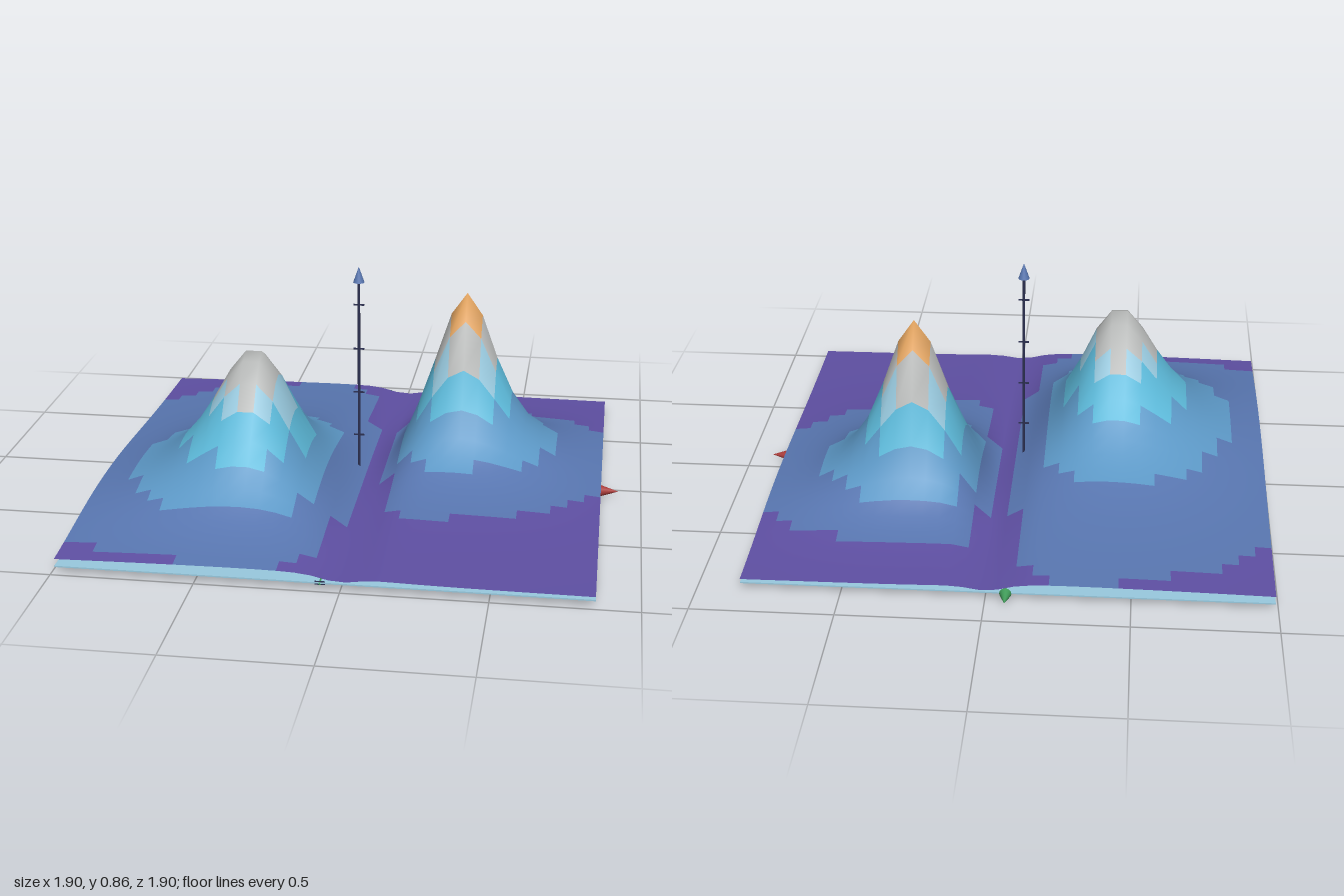
import * as THREE from 'three';

const mat = (name, color, side = THREE.FrontSide) => {
  const m = new THREE.MeshStandardMaterial({ color, side });
  m.name = name;
  return m;
};

// plot extents, floor height and axis origin
const X0 = -0.99, Z0 = -0.86, SIZE = 1.84, CELLS = 31, FLOOR = 0.03;
const OX = -0.07, OZ = 0.06;

// each hill has a core width w and a tail width v on each of its four sides
const hills = [
  { x: -0.427, z: 0.272, top: 0.565, xNeg: [0.21, 9], xPos: [0.21, 0.215], zNeg: [0.255, 9], zPos: [0.27, 0.37] },
  { x: 0.316, z: -0.148, top: 0.68, xNeg: [0.16, 0.21], xPos: [0.157, 0.34], zNeg: [0.15, 0.25], zPos: [0.147, 0.4] },
];
const falloff = (d, [w, v]) => (d / w) ** 2 + (d / v) ** 4;

function heightAt(x, z) {
  let h = 0;
  for (const k of hills) {
    const dx = x - k.x, dz = z - k.z;
    h += k.top / (1 + falloff(dx, dx < 0 ? k.xNeg : k.xPos) + falloff(dz, dz < 0 ? k.zNeg : k.zPos));
  }
  // valley between the hills
  return h * (1 - Math.exp(-((x / 0.08) ** 2)));
}

// grid surface, each cell coloured by its height band
function hillSurface(materials) {
  const limits = [0.035, 0.11, 0.24, 0.37, 0.41, 0.56];
  const n = CELLS + 1, step = SIZE / CELLS;
  const pos = [], bands = materials.map(() => []);
  for (let j = 0; j < n; j++) {
    for (let i = 0; i < n; i++) {
      const x = X0 + i * step, z = Z0 + j * step;
      pos.push(x, FLOOR + 0.004 + heightAt(x, z), z);
    }
  }
  for (let j = 0; j < CELLS; j++) {
    for (let i = 0; i < CELLS; i++) {
      const a = j * n + i, b = a + 1, c = a + n, d = c + 1;
      const mean = [a, b, c, d].reduce((s, k) => s + pos[k * 3 + 1], 0) / 4 - FLOOR;
      const band = limits.filter((l) => mean > l).length;
      bands[band].push(a, c, b, b, c, d);
    }
  }
  const geo = new THREE.BufferGeometry();
  geo.setAttribute('position', new THREE.Float32BufferAttribute(pos, 3));
  geo.setIndex(bands.flat());
  let start = 0;
  bands.forEach((list, k) => {
    geo.addGroup(start, list.length, k);
    start += list.length;
  });
  geo.computeVertexNormals();
  return new THREE.Mesh(geo, materials);
}

export function createModel() {
  const model = new THREE.Group();
  const both = THREE.DoubleSide;
  const purple = mat('purple', 0x5e4fa2, both);
  const slate = mat('slate blue', 0x5876b0, both);
  const blue = mat('blue', 0x5c98c6, both);
  const cyan = mat('cyan', 0x5cb9d9, both);
  const pale = mat('pale blue', 0x98c9de, both);
  const grey = mat('grey', 0xb9bbba, both);
  const orange = mat('orange', 0xe8a862, both);
  const navy = mat('navy', 0x2b2f50);
  const red = mat('red', 0xa83a38);
  const green = mat('green', 0x3f9a58);

  const add = (name, geo, material, x, y, z, parent = model) => {
    const m = new THREE.Mesh(geo, material);
    m.name = name;
    m.position.set(x, y, z);
    parent.add(m);
    return m;
  };

  // hills
  const surface = hillSurface([purple, slate, blue, cyan, pale, grey, orange]);
  surface.name = 'hillSurface';
  model.add(surface);

  // floor plate under the surface
  const mid = SIZE / 2;
  add('floorPlate', new THREE.BoxGeometry(SIZE, 0.005, SIZE), pale, X0 + mid, FLOOR - 0.0035, Z0 + mid);

  // axis built along +y, with a rod from -back to front and a cone on the end
  const axis = (name, back, front, rodMat, tipMat, r, tipLength) => {
    const g = new THREE.Group();
    g.name = name;
    const len = back + front;
    add(name + 'Rod', new THREE.CylinderGeometry(r, r, len, 10), rodMat, 0, len / 2 - back, 0, g);
    add(name + 'Tip', new THREE.ConeGeometry(0.021, tipLength, 20), tipMat, 0, front + tipLength / 2, 0, g);
    g.position.set(OX, FLOOR - 0.005, OZ);
    model.add(g);
    return g;
  };
  axis('heightAxis', 0, 0.78, navy, slate, 0.005, 0.06);
  axis('widthAxis', 0.92, 0.92, red, red, 0.005, 0.065).rotation.z = -Math.PI / 2;
  axis('depthAxis', 0.92, 0.92, green, green, 0.005, 0.06).rotation.x = -Math.PI / 2;
  add('originBall', new THREE.SphereGeometry(0.02, 20, 14), navy, OX, FLOOR - 0.005, OZ);

  // tick marks
  const tick = (sx, sy, sz, x, y, z) => add('tick', new THREE.BoxGeometry(sx, sy, sz), navy, x, y, z);
  for (let i = 1; i <= 4; i++) {
    tick(0.04, 0.005, 0.005, OX, FLOOR + i * 0.172, OZ);
  }
  for (const i of [-3, -2, -1, 1, 2, 3]) {
    const d = i * 0.305;
    tick(0.005, 0.012, 0.035, OX + d, FLOOR - 0.005, OZ);
    tick(0.035, 0.012, 0.005, OX, FLOOR - 0.005, OZ + d);
  }
  return model;
}
